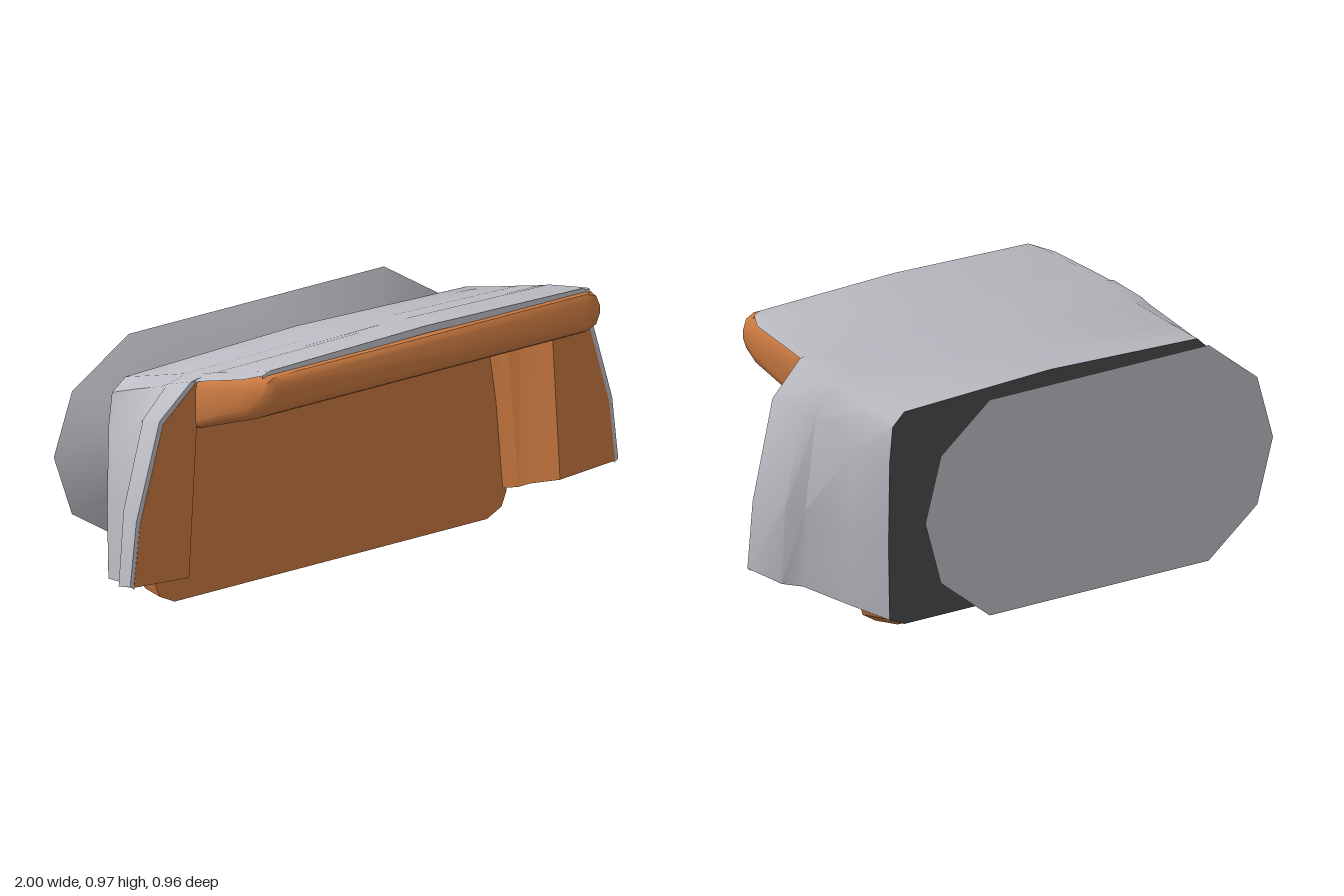
import * as THREE from 'three';
import { toCreasedNormals } from 'three/addons/utils/BufferGeometryUtils.js';

const grey = new THREE.MeshStandardMaterial({ color: 0xbcbcc4, side: THREE.DoubleSide });
grey.name = 'light grey shell';
const orange = new THREE.MeshStandardMaterial({ color: 0xc87840 });
orange.name = 'orange lining';
const dark = new THREE.MeshStandardMaterial({ color: 0x4a4a4c });
dark.name = 'dark back';

// Skin over cross-sections [z, [[x, y], ...]], counter-clockwise, with z increasing
function loft(sections, { closed = true, capBack = closed, capFront = closed, crease = 0.6 } = {}) {
  const rows = sections.map(([z, pts]) => pts.map(([x, y]) => [x, y, z]));
  const n = rows[0].length;
  const out = [];
  for (let i = 0; i < rows.length - 1; i++) {
    for (let j = 0; j < (closed ? n : n - 1); j++) {
      const k = (j + 1) % n;
      const a = rows[i][j], b = rows[i][k], c = rows[i + 1][k], d = rows[i + 1][j];
      out.push(...a, ...b, ...d, ...b, ...c, ...d);
    }
  }
  const first = rows[0], last = rows[rows.length - 1];
  for (let j = 1; j < n - 1; j++) {
    if (capBack) out.push(...first[0], ...first[j + 1], ...first[j]);
    if (capFront) out.push(...last[0], ...last[j], ...last[j + 1]);
  }
  const g = new THREE.BufferGeometry();
  g.setAttribute('position', new THREE.Float32BufferAttribute(out, 3));
  return toCreasedNormals(g, crease);
}

// Right half from bottom to top, completed with its mirror image
const flip = (pts) => pts.map(([x, y]) => [-x, y]).reverse();
const whole = (half) => [...half, ...flip(half.filter(([x]) => x > 0))];

export function createModel() {
  const model = new THREE.Group();
  const add = (name, geometry, material) => {
    const mesh = new THREE.Mesh(geometry, material);
    mesh.name = name;
    model.add(mesh);
    return mesh;
  };

  // Outer shell: sides flare forward into the arms
  const shell = [
    [-0.265, [[0.77, 0.055], [0.775, 0.3], [0.77, 0.58], [0.755, 0.7], [0.70, 0.742], [0, 0.762]]],
    [-0.15, [[0.83, 0.095], [0.83, 0.35], [0.805, 0.62], [0.757, 0.745], [0.69, 0.778], [0, 0.796]]],
    [0, [[0.9, 0.147], [0.89, 0.4], [0.84, 0.69], [0.76, 0.8], [0.68, 0.826], [0, 0.84]]],
    [0.04, [[0.96, 0.16], [0.94, 0.42], [0.86, 0.72], [0.76, 0.82], [0.68, 0.84], [0, 0.852]]],
    [0.155, [[1, 0.2], [0.975, 0.42], [0.88, 0.75], [0.75, 0.86], [0.68, 0.872], [0, 0.885]]],
  ];
  const inset = ([z, pts]) => [z, pts.map(([x, y]) => [x * 0.982, y - 0.012])];
  add('shell', loft([...shell, inset(shell[4])].map(([z, p]) => [z, whole(p)]), { closed: false }), grey);

  // Dark panel closing the back of the shell
  const backPts = whole([[0.7, 0.03], ...shell[0][1]]);
  add('backPanel', loft([[-0.266, backPts], [-0.258, backPts]]), dark);

  // Roof plate running forward over the hood
  const roof = [
    [0.14, [[0.745, 0.852], [0.68, 0.868], [0, 0.88]]],
    [0.2, [[0.737, 0.872], [0.68, 0.891], [0, 0.898]]],
    [0.38, [[0.712, 0.925], [0.66, 0.941], [0, 0.952]]],
    [0.435, [[0.67, 0.945], [0.64, 0.956], [0, 0.97]]],
    [0.438, [[0.67, 0.925], [0.64, 0.935], [0, 0.945]]],
  ];
  add('roof', loft(roof.map(([z, p]) => [z, whole(p)]), { closed: false }), grey);

  // Hood with a sloping underside and rounded front bar
  const hoodSection = (z, w, bottom, top, r) =>
    [z, whole([[w - r, bottom], [w - r * 0.3, bottom + r * 0.3], [w, bottom + r],
      [w, top - r], [w - r * 0.3, top - r * 0.3], [w - r, top]])];
  add('hood', loft([
    hoodSection(-0.09, 0.64, 0.59, 0.75, 0.02),
    hoodSection(0.155, 0.735, 0.69, 0.858, 0.03),
    hoodSection(0.4, 0.712, 0.785, 0.938, 0.045),
    hoodSection(0.465, 0.69, 0.818, 0.945, 0.05),
    hoodSection(0.482, 0.65, 0.845, 0.925, 0.03),
  ], { crease: 0.9 }), orange);

  // Upright lining panel with its foot below the shell
  const panel = (z, bottom, w) =>
    [z, whole([[w - 0.08, bottom], [w - 0.02, bottom + 0.03], [w, bottom + 0.08], [w, 0.2], [0.65, 0.63]])];
  add('liningPanel', loft([panel(-0.255, 0.035, 0.7), panel(-0.17, 0, 0.71), panel(-0.08, 0, 0.72)]), orange);

  // Arms: front faces, inner walls and undersides just inside the shell
  const inner = [[0.70, 0.58, 0.04], [0.70, 0.6, 0.07], [0.71, 0.65, 0.12], [0.725, 0.69, 0.14], [0.76, 0.72, 0.18]];
  const arm = shell.map(([z, p], i) => {
    const [bottomX, topX, bottomY] = inner[i];
    const outer = p.slice(0, 4).map(([x, y], j) => [x - 0.014, y - (j ? 0.012 : 0.004)]);
    const topY = Math.min(p[3][1] - 0.015, 0.84);
    return [z === 0.155 ? 0.157 : Math.max(z, -0.256), [[bottomX, bottomY], ...outer, [topX, topY]]];
  });
  add('leftArm', loft(arm), orange);
  add('rightArm', loft(arm.map(([z, p]) => [z, flip(p)])), orange);

  // Wall mount: a twelve-sided dish that widens to the back
  const quarter = [[1, 0], [0.91, 0.59], [0.63, 1], [0, 1]];
  const ring = (w, h) => {
    const upper = whole(quarter);
    const lower = upper.slice(1, -1).map(([x, y]) => [-x, -y]);
    return [...upper, ...lower].map(([x, y]) => [x * w, 0.425 + y * h]);
  };
  add('wallMount', loft([
    [-0.482, ring(0.83, 0.362)],
    [-0.38, ring(0.645, 0.215)],
    [-0.345, ring(0.58, 0.135)],
    [-0.335, ring(0.5, 0.04)],
  ]), grey);

  // Two pegs joining mount and shell
  for (const [side, name] of [[1, 'leftPeg'], [-1, 'rightPeg']]) {
    const peg = add(name, new THREE.CylinderGeometry(0.042, 0.042, 0.09, 20), grey);
    peg.rotation.x = Math.PI / 2;
    peg.position.set(side * 0.46, 0.422, -0.3);
  }
  return model;
}
